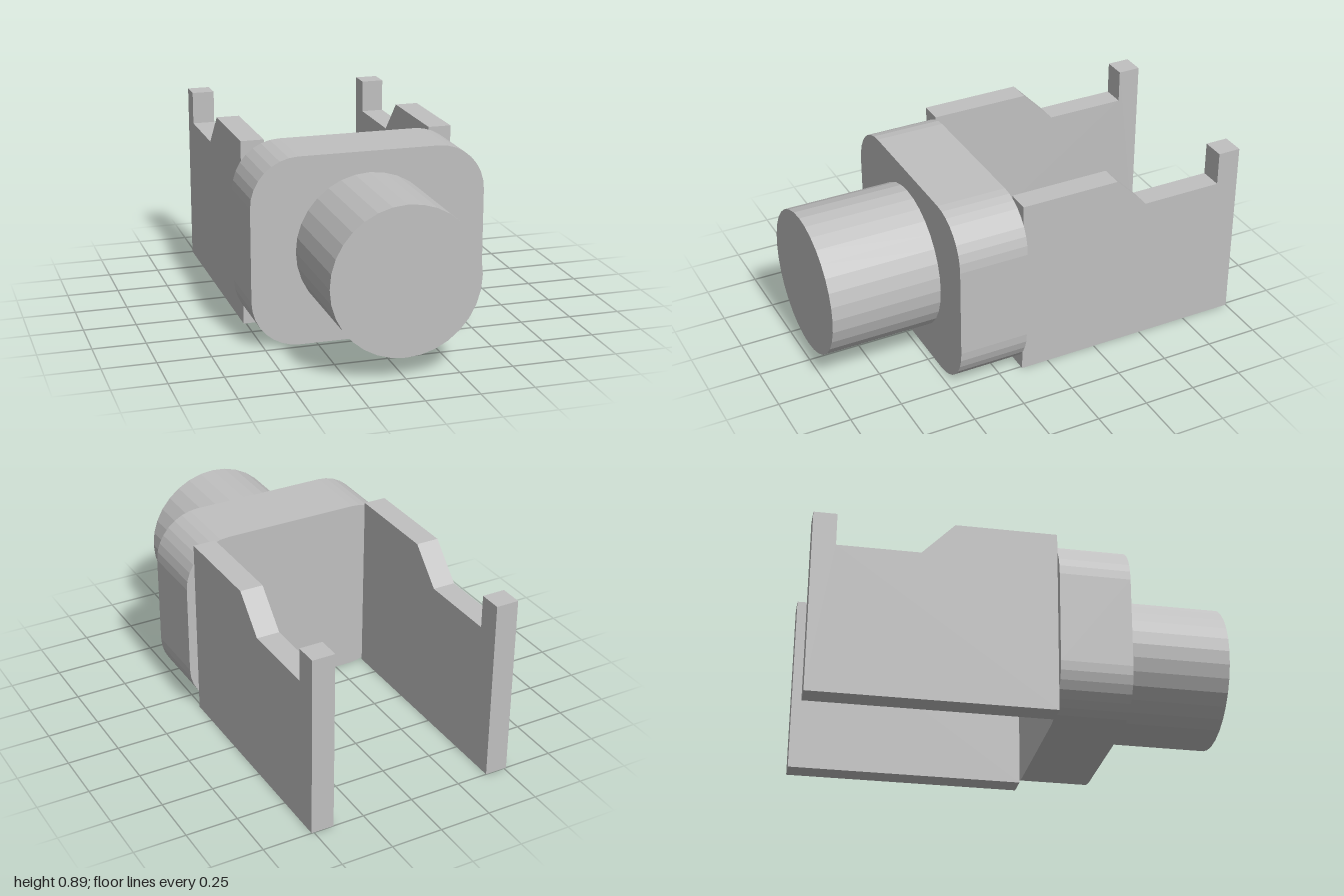
import * as THREE from 'three';

const steel = new THREE.MeshStandardMaterial({ color: 0xc0c0c0, flatShading: true });
steel.name = 'light grey';

const H = 0.89; // overall height

function addPart(group, name, geometry) {
  const mesh = new THREE.Mesh(geometry, steel);
  mesh.name = name;
  group.add(mesh);
  return mesh;
}

// Upright rectangle with rounded corners, centred on the origin
function roundedRect(w, h, r) {
  const x = w / 2 - r, y = h / 2 - r;
  const s = new THREE.Shape();
  s.moveTo(x + r, -y);
  [[x, y], [-x, y], [-x, -y], [x, -y]].forEach(([cx, cy], i) =>
    s.absarc(cx, cy, r, i * Math.PI / 2, (i + 1) * Math.PI / 2, false));
  return s;
}

export function createModel() {
  const group = new THREE.Group();
  group.name = 'clevis';

  // Rounded block joining the two arms
  const block = addPart(group, 'body', new THREE.ExtrudeGeometry(
    roundedRect(1.11, H, 0.225), { depth: 0.335, bevelEnabled: false, curveSegments: 4 }));
  block.position.set(0, H / 2, 0.135);

  // Round shank at the front
  const shank = addPart(group, 'shank', new THREE.CylinderGeometry(0.346, 0.346, 0.53, 32));
  shank.rotation.x = Math.PI / 2;
  shank.position.set(0, H / 2, 0.735);

  // Notched side arms; profile runs backwards along its own x axis
  const profile = new THREE.Shape([
    [-0.135, 0], [1, 0], [1, H], [0.89, H], [0.89, 0.73],
    [0.5, 0.73], [0.345, H], [-0.135, H],
  ].map(([a, b]) => new THREE.Vector2(a, b)));
  const armGeometry = new THREE.ExtrudeGeometry(profile, { depth: 0.11, bevelEnabled: false });
  armGeometry.rotateY(Math.PI / 2);
  addPart(group, 'leftArm', armGeometry).position.x = 0.402;
  addPart(group, 'rightArm', armGeometry).position.x = -0.512;

  return group;
}
